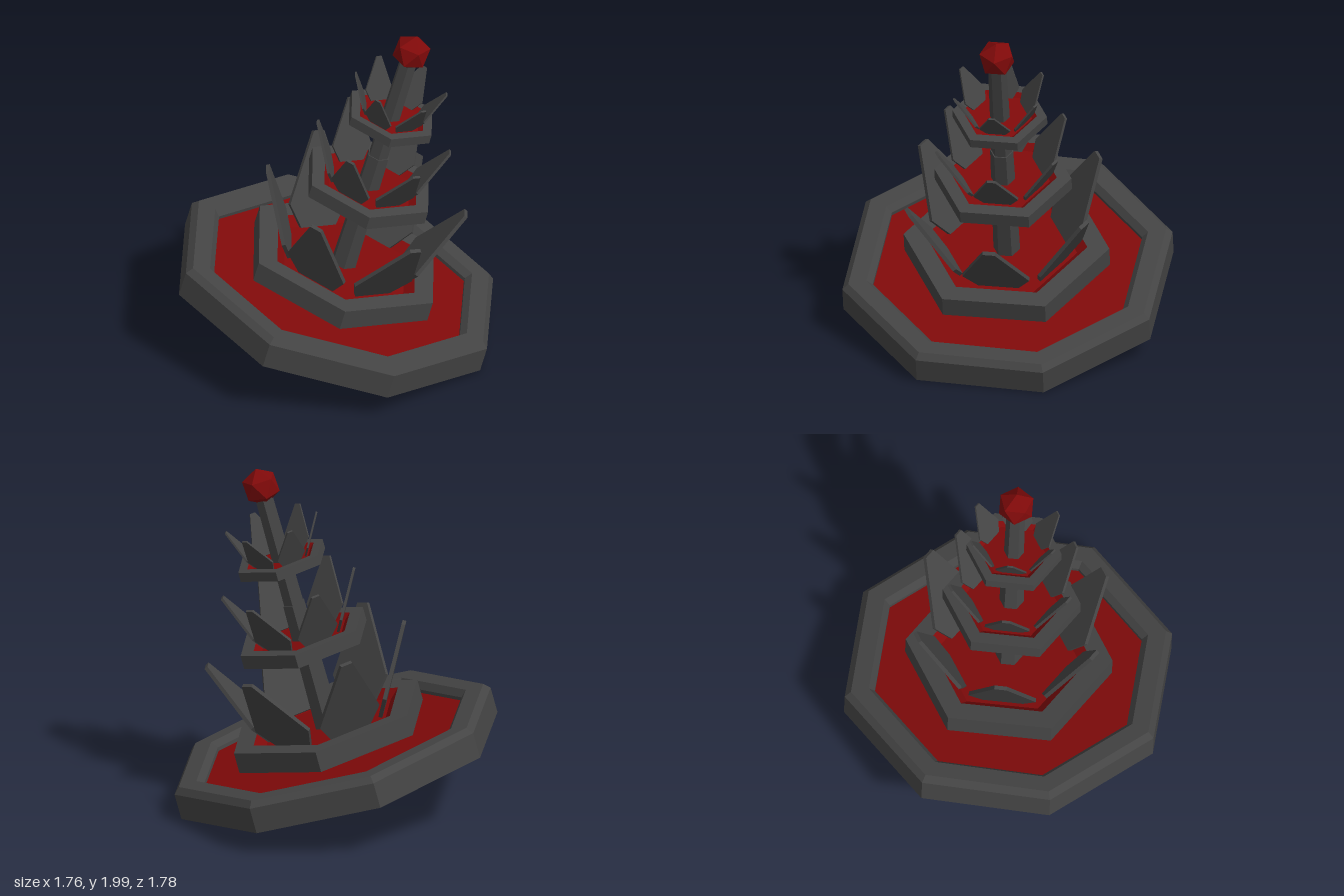
import * as THREE from 'three';

const stone = new THREE.MeshStandardMaterial({ color: 0x444444, flatShading: true });
const red = new THREE.MeshStandardMaterial({ color: 0x800a0a, flatShading: true });

function add(parent, name, geometry, material) {
  const mesh = new THREE.Mesh(geometry, material);
  mesh.name = name;
  parent.add(mesh);
  return mesh;
}

// Faceted turned shape from [radius, height] pairs
function turned(profile, sides, start = 0) {
  const points = profile.map(([r, h]) => new THREE.Vector2(r, h));
  return new THREE.LatheGeometry(points, sides, start).toNonIndexed();
}

// Thin pointed leaf, widest a little above its foot
function petalGeometry() {
  const outline = [[-0.115, -0.04], [0.115, -0.04], [0.19, 0.1], [0.035, 0.505], [-0.035, 0.505], [-0.19, 0.1]];
  const shape = new THREE.Shape(outline.map(([x, y]) => new THREE.Vector2(x, y)));
  const geometry = new THREE.ExtrudeGeometry(shape, { depth: 0.022, bevelEnabled: false });
  return geometry.translate(0, 0, -0.011);
}

// Hexagonal bowl with red water and six leaning petals; its origin is the rim height
function createTier(name, height, scale) {
  const tier = new THREE.Group();
  tier.name = name;
  tier.position.y = height;
  tier.scale.setScalar(scale);
  add(tier, 'bowl', turned([[0, -0.12], [0.585, -0.12], [0.585, 0], [0.46, 0]], 6), stone);
  add(tier, 'bowlWater', turned([[0.46, 0], [0.4, -0.05], [0, -0.05]], 6), red);
  const leaf = petalGeometry();
  for (let i = 0; i < 6; i++) {
    const arm = new THREE.Group();
    arm.name = 'petalArm';
    arm.rotation.y = Math.PI / 6 + (i * Math.PI) / 3;
    const petal = add(arm, 'petal', leaf, stone);
    petal.position.z = 0.34;
    petal.rotation.x = THREE.MathUtils.degToRad(28);
    tier.add(arm);
  }
  return tier;
}

export function createModel() {
  const model = new THREE.Group();
  model.name = 'tieredFountain';

  // The whole fountain leans toward +x
  const fountain = new THREE.Group();
  fountain.name = 'leaningFountain';
  fountain.position.set(-0.022, 0.238, 0);
  fountain.rotation.z = THREE.MathUtils.degToRad(-15);
  model.add(fountain);

  // Octagonal basin with bevelled rim
  const turn = THREE.MathUtils.degToRad(20.3);
  add(fountain, 'basin', turned([
    [0, 0], [0.95, 0], [0.95, 0.15], [0.915, 0.185], [0.81, 0.185], [0.775, 0.15], [0.775, 0.12],
  ], 8, turn), stone);
  add(fountain, 'basinWater', turned([[0.78, 0.13], [0, 0.13]], 8, turn), red);

  // Column in two lengths
  add(fountain, 'lowerColumn', turned([[0, 0.1], [0.078, 0.1], [0.066, 1.0], [0, 1.0]], 6), stone);
  add(fountain, 'upperColumn', turned([[0, 0.95], [0.06, 0.95], [0.052, 1.7], [0, 1.7]], 6), stone);

  // Three shrinking tiers
  fountain.add(createTier('lowerTier', 0.3, 1));
  fountain.add(createTier('middleTier', 0.823, 0.667));
  fountain.add(createTier('upperTier', 1.288, 0.46));

  // Faceted finial standing on a vertex
  const gem = new THREE.IcosahedronGeometry(0.109, 0);
  gem.rotateZ(Math.PI / 2 - Math.atan((1 + Math.sqrt(5)) / 2)).rotateY(Math.PI);
  add(fountain, 'finial', gem, red).position.y = 1.715;

  return model;
}
